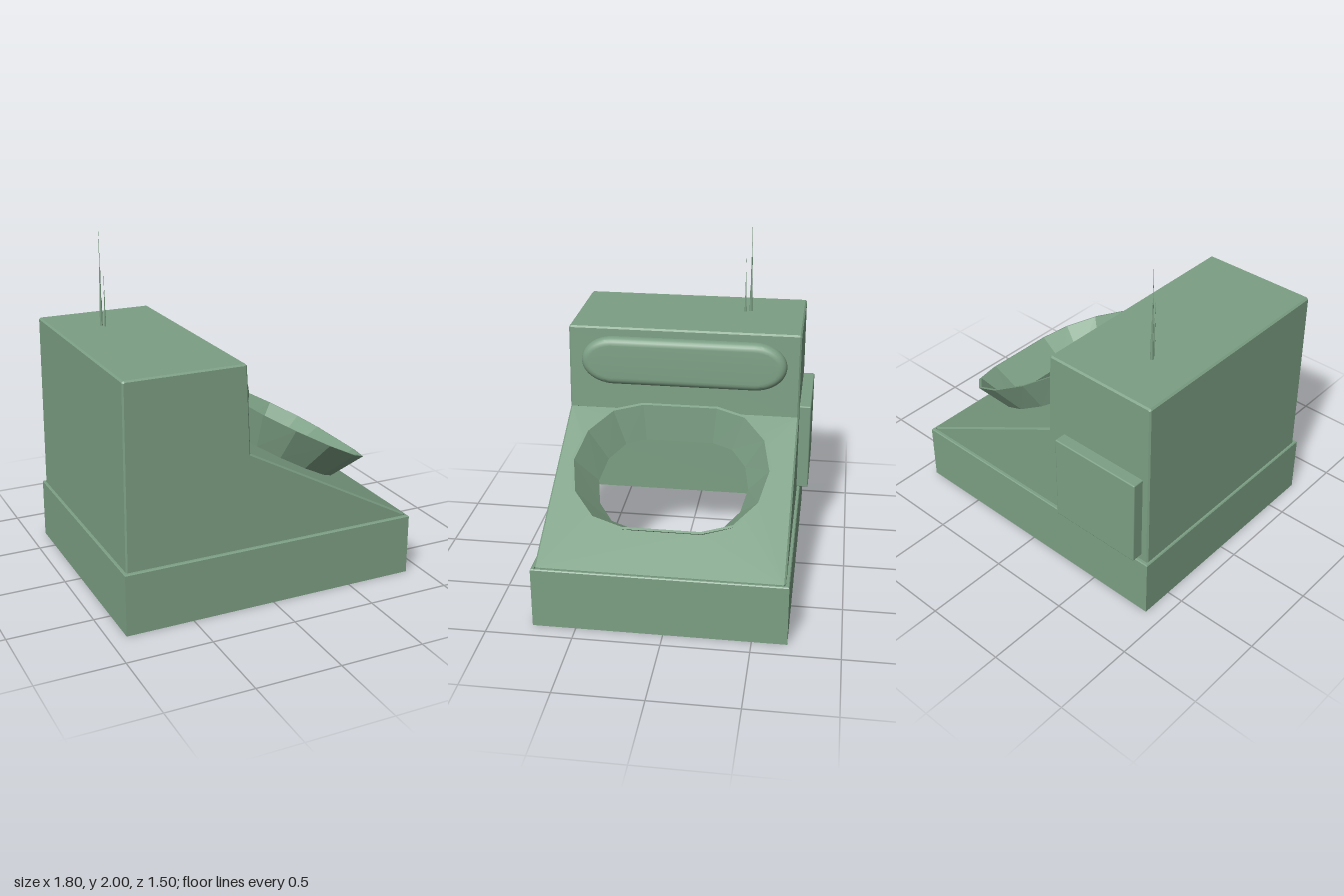
import * as THREE from 'three';
import { toCreasedNormals } from 'three/addons/utils/BufferGeometryUtils.js';
import { RoundedBoxGeometry } from 'three/addons/geometries/RoundedBoxGeometry.js';

const green = new THREE.MeshStandardMaterial({ color: 0x7c9f84, side: THREE.DoubleSide });

function add(parent, name, geometry) {
  const mesh = new THREE.Mesh(geometry, green);
  mesh.name = name;
  parent.add(mesh);
  return mesh;
}

// Flat-shaded skin through a list of cross-sections, each a list of [x, y, z].
function loft(rows, closed, skip = () => false) {
  const pos = [];
  const n = rows[0].length;
  for (let j = 0; j < rows.length - 1; j++) {
    for (let i = 0; i < (closed ? n : n - 1); i++) {
      if (skip(j, i)) continue;
      const k = (i + 1) % n;
      const [a, b, c, d] = [rows[j][i], rows[j][k], rows[j + 1][k], rows[j + 1][i]];
      pos.push(...a, ...b, ...c, ...a, ...c, ...d);
    }
  }
  const g = new THREE.BufferGeometry();
  g.setAttribute('position', new THREE.Float32BufferAttribute(pos, 3));
  g.computeVertexNormals();
  return g;
}

const shapeOf = (pts) => new THREE.Shape(pts.map(([x, y]) => new THREE.Vector2(x, y)));

// Horizontal rectangle as a cross-section
const rect = (x0, x1, z0, z1, y) => [[x0, y, z1], [x1, y, z1], [x1, y, z0], [x0, y, z0]];

// Stadium with elliptical ends: half-width u, straight half-length s, end radius r
function stadium(u, s, r, h) {
  const pts = [];
  for (const end of [1, -1]) {
    for (let k = 0; k <= 6; k++) {
      const a = (k / 6) * Math.PI;
      pts.push([end * u * Math.cos(a), end * (s + r * Math.sin(a)), h]);
    }
  }
  return pts;
}

export function createModel() {
  const model = new THREE.Group();
  model.name = 'consoleCabinet';

  // Open-bottomed base with a narrow ledge
  add(model, 'base', loft([
    rect(-0.9, 0.9, -0.7, 0.75, 0),
    rect(-0.9, 0.9, -0.7, 0.75, 0.36),
    rect(-0.895, 0.895, -0.695, 0.745, 0.366),
    rect(-0.885, 0.885, -0.68, 0.73, 0.366),
  ], true));

  // Hollow body: stepped profile with chamfered side edges
  const profile = [[-0.885, 0.365], [-0.88, 1.43], [-0.87, 1.44], [-0.18, 1.44],
    [-0.17, 1.43], [-0.145, 0.925], [0.885, 0.373], [0.885, 0.365]];
  const inset = [[-0.877, 0.365], [-0.872, 1.425], [-0.866, 1.431], [-0.184, 1.431],
    [-0.178, 1.425], [-0.153, 0.919], [0.868, 0.371], [0.868, 0.365]];
  const at = (pts, z) => pts.map(([x, y]) => [x, y, z]);
  add(model, 'body', loft(
    [at(inset, 0.73), at(profile, 0.72), at(profile, -0.67), at(inset, -0.68)],
    false, (j, i) => j === 1 && i === 5));
  add(model, 'frontSide', new THREE.ShapeGeometry(shapeOf(inset))).position.z = 0.73;
  const back = new THREE.ShapeGeometry(shapeOf(inset.map(([x, y]) => [-x, y])));
  add(model, 'backSide', back.rotateY(Math.PI)).position.z = -0.68;

  // Sloping deck, with its own tilted frame (local z is the deck normal)
  const deck = new THREE.Group();
  deck.name = 'deck';
  deck.position.set(0.34, 0.665, 0.02);
  deck.rotation.set(-Math.PI / 2, 0, -0.492, 'ZYX');
  model.add(deck);
  const panel = shapeOf([[-0.55, -0.7], [0.619, -0.7], [0.619, 0.69], [-0.55, 0.69]]);
  panel.holes.push(shapeOf(stadium(0.32, 0.2, 0.24, 0)));
  add(deck, 'deckPanel', new THREE.ShapeGeometry(panel));

  // Flared hood around the opening
  add(deck, 'hood', loft([
    stadium(0.332, 0.205, 0.252, 0),
    stadium(0.449, 0.225, 0.357, 0.19),
    stadium(0.434, 0.22, 0.345, 0.19),
    stadium(0.32, 0.2, 0.24, 0),
  ], true));

  // Soft pad on the upright face
  const b = 0.045, w = 0.625 - b, h = 0.148 - b, r = 0.2 - b;
  const pad = new THREE.Shape();
  pad.absellipse(w - r, 0, r, h, -Math.PI / 2, Math.PI / 2);
  pad.absellipse(r - w, 0, r, h, Math.PI / 2, Math.PI * 1.5);
  const padGeometry = new THREE.ExtrudeGeometry(pad, {
    depth: 0.02, bevelSize: b, bevelThickness: b, bevelSegments: 6, curveSegments: 16,
  }).rotateY(Math.PI / 2);
  const padMesh = add(model, 'facePad', toCreasedNormals(padGeometry, 0.7));
  padMesh.position.set(-0.168, 1.238, 0.025);
  padMesh.rotation.z = 0.0485;

  // Service hatch on the back
  add(model, 'backHatch', new RoundedBoxGeometry(0.58, 0.55, 0.08, 2, 0.008))
    .position.set(-0.55, 0.675, -0.71);

  // Two stepped, tapering aerials
  for (const [name, x, z, len, rad] of [
    ['tallAerial', -0.6, -0.34, 0.56, 0.009], ['shortAerial', -0.588, -0.307, 0.34, 0.006]]) {
    const steps = [[1, 0], [0.8, 0.3], [0.55, 0.3], [0.45, 0.62], [0.2, 0.62], [0.12, 1], [0, 1]];
    const pts = steps.map(([s, t]) => new THREE.Vector2(s * rad, t * len));
    add(model, name, toCreasedNormals(new THREE.LatheGeometry(pts, 8), 0.9))
      .position.set(x, 1.44, z);
  }

  return model;
}
